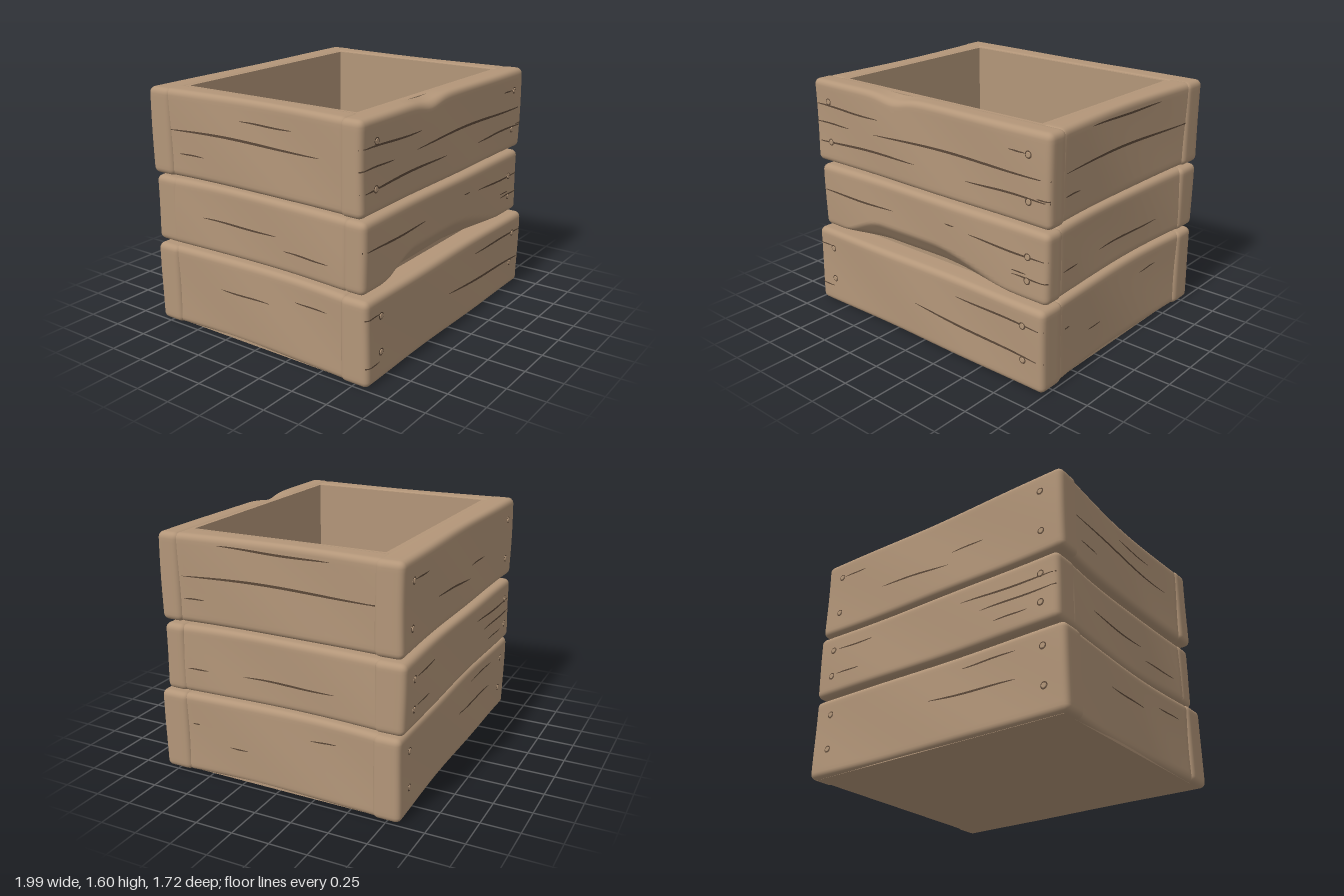
import * as THREE from 'three';
import { mergeVertices } from 'three/addons/utils/BufferGeometryUtils.js';

const wood = new THREE.MeshStandardMaterial({ color: 0xb39679 });
wood.name = 'wood';
const groove = new THREE.MeshStandardMaterial({ color: 0x5c4939, side: THREE.DoubleSide });
groove.name = 'dark groove';

const R = 0.04; // rounding of the plank edges
const smooth = (a, b, x) => THREE.MathUtils.smoothstep(x, a, b);

// Position along one axis: short steps in the rounded rim, even steps between
function spread(t, n, half) {
  const i = Math.round((t + 1) / 2 * n), rim = 3;
  if (i <= rim) return -half + R * i / rim;
  if (i >= n - rim) return half - R * (n - i) / rim;
  return -half + R + (2 * half - 2 * R) * (i - rim) / (n - 2 * rim);
}

// Offset of the outer face: bowed, slightly wavy, optionally gouged along the bottom
function faceOffset(p, u, v) {
  const k = (u - (p.u0 + p.u1) / 2) / ((p.u1 - p.u0) / 2);
  let w = -p.bow * (1 - k * k) + 0.004 * Math.sin(u * 5 + v * 7);
  if (p.gouge) {
    const edge = p.y0 + 0.14 * smooth(-0.85, -0.4, u) * (1 - smooth(0.05, 0.85, u));
    w -= Math.max(0, edge - v) * 0.75;
  }
  return w;
}

// Outer surface at (u, v), including the rounded ends
function surface(p, u, v) {
  const d = Math.min(R, Math.max(0, p.u0 + R - u, u - p.u1 + R));
  return p.out + faceOffset(p, u, v) - R + Math.sqrt(R * R - d * d);
}

// Rounded, worn plank: u along, v up, w outwards
function plank(p) {
  const N = [54, 26, 10];
  const half = [(p.u1 - p.u0) / 2, (p.y1 - p.y0) / 2, (p.out - p.inn) / 2];
  const mid = [(p.u0 + p.u1) / 2, (p.y0 + p.y1) / 2, (p.out + p.inn) / 2];
  let geo = new THREE.BoxGeometry(2, 2, 2, ...N);
  const pos = geo.attributes.position;
  const q = new THREE.Vector3(), c = new THREE.Vector3();
  const inner = new THREE.Vector3(...half).subScalar(R);
  for (let i = 0; i < pos.count; i++) {
    q.set(...[0, 1, 2].map(a => spread(pos.getComponent(i, a), N[a], half[a])));
    c.copy(q).clamp(inner.clone().negate(), inner);
    q.sub(c).setLength(R).add(c);
    const outward = (q.z / half[2] + 1) / 2;
    q.add(new THREE.Vector3(...mid));
    q.z += faceOffset(p, q.x, q.y) * outward;
    if (p.dip) {
      const top = smooth(p.y1 - 0.15, p.y1, q.y);
      q.y -= 0.035 * top * outward * Math.exp(-(((q.x + 0.25) / 0.13) ** 2));
    }
    pos.setXYZ(i, q.x, q.y, q.z);
  }
  geo.deleteAttribute('normal');
  geo.deleteAttribute('uv');
  geo = mergeVertices(geo);
  geo.computeVertexNormals();
  const mesh = new THREE.Mesh(geo, wood);
  mesh.name = 'plank';
  return mesh;
}

// Tapered grain crack lying on the face, from (u0, v0) to (u1, v1)
function crack(p, [u0, u1, v0, v1 = v0]) {
  const n = 20, pts = [], idx = [];
  const width = Math.min(0.008, 0.004 + Math.abs(u1 - u0) * 0.004);
  for (let i = 0; i <= n; i++) {
    const t = i / n, u = u0 + (u1 - u0) * t;
    const v = v0 + (v1 - v0) * t + 0.006 * Math.sin(t * 6 + v0 * 9) * Math.abs(u1 - u0);
    const atEnd = Math.abs(u - p.u0) < 0.03 || Math.abs(u - p.u1) < 0.03;
    const h = width * (atEnd ? 0.8 : Math.sqrt(Math.sin(Math.PI * t) + 0.02));
    const w = surface(p, u, v) + 0.003;
    pts.push(u, v - h, w, u, v + h, w);
    if (i < n) idx.push(2 * i, 2 * i + 2, 2 * i + 1, 2 * i + 1, 2 * i + 2, 2 * i + 3);
  }
  const geo = new THREE.BufferGeometry();
  geo.setAttribute('position', new THREE.Float32BufferAttribute(pts, 3));
  geo.setIndex(idx);
  geo.computeVertexNormals();
  const mesh = new THREE.Mesh(geo, groove);
  mesh.name = 'grainCrack';
  return mesh;
}

// Nail head: small disc in a dark ring
function nail(p, [u, v]) {
  const g = new THREE.Group();
  g.name = 'nail';
  const ring = new THREE.Mesh(new THREE.RingGeometry(0.017, 0.024, 16), groove);
  const head = new THREE.Mesh(new THREE.CylinderGeometry(0.015, 0.018, 0.008, 16), wood);
  head.rotation.x = Math.PI / 2;
  g.add(ring, head);
  g.position.set(u, v, surface(p, u, v) + 0.004);
  return g;
}

function row(p, cracks, nails = []) {
  const g = new THREE.Group();
  g.name = 'plankRow';
  g.add(plank(p), ...cracks.map(c => crack(p, c)), ...nails.map(n => nail(p, n)));
  return g;
}

const ROWS = [{ y0: 0, y1: 0.545 }, { y0: 0.56, y1: 1.005 }, { y0: 1.03, y1: 1.595 }];
const four = (a, b) => [[-0.845, a], [-0.845, b], [0.845, a], [0.845, b]];

// Each row, bottom to top: extent, cracks [u0, u1, v0, v1], nails [u, v]
const FRONT = [
  [{ u0: -0.995, u1: 0.995, out: 0.85 },
    [[-0.99, -0.86, 0.435], [0.3, 0.99, 0.43, 0.42], [-0.05, 0.99, 0.26, 0.2], [-0.99, -0.86, 0.13]], four(0.42, 0.19)],
  [{ u0: -0.965, u1: 0.985, out: 0.805, gouge: true },
    [[-0.96, -0.28, 0.825], [0.38, 0.98, 0.85, 0.835], [0.19, 0.27, 0.87], [0.72, 0.83, 0.73], [0.72, 0.98, 0.705]],
    [[0.84, 0.84], [0.84, 0.69]]],
  [{ u0: -0.995, u1: 0.995, out: 0.805, dip: true },
    [[-0.99, -0.37, 1.43, 1.42], [-0.99, -0.66, 1.31], [-0.42, 0.99, 1.32, 1.335], [-0.99, -0.06, 1.18, 1.2],
      [0.36, 0.99, 1.19, 1.2], [0.7, 0.82, 1.46], [0.9, 0.99, 1.21]], four(1.457, 1.18)],
];
const BACK = [
  [{ u0: -0.995, u1: 0.995, out: 0.835 }, [[0, 0.65, 0.3, 0.27], [0.25, 0.65, 0.45]], four(0.42, 0.18)],
  [{ u0: -0.985, u1: 0.965, out: 0.85 },
    [[-0.8, -0.5, 0.88], [-0.8, -0.6, 0.7], [0.25, 0.95, 0.88, 0.86], [0.4, 0.95, 0.78], [0.5, 0.75, 0.68]], four(0.88, 0.69)],
  [{ u0: -0.995, u1: 0.995, out: 0.835 },
    [[-0.82, -0.62, 1.46], [-0.45, 0.12, 1.26, 1.22], [0.15, 0.4, 1.3]], four(1.46, 1.18)],
];
const RIGHT = [
  [{ out: 0.985 }, [[-0.62, -0.57, 0.345], [-0.35, -0.22, 0.225], [0.23, 0.41, 0.4, 0.41]]],
  [{ out: 0.975 }, [[-0.64, -0.49, 0.725], [-0.24, 0.39, 0.725, 0.73]]],
  [{ out: 0.985 }, [[-0.38, 0.37, 1.54, 1.53], [-0.64, 0.69, 1.335], [-0.64, -0.49, 1.19]]],
];
const LEFT = [
  [{ out: 0.985 }, [[-0.3, 0.1, 0.33], [0.3, 0.55, 0.4]]],
  [{ out: 0.965 }, [[-0.45, 0.15, 0.78], [0.2, 0.55, 0.7]]],
  [{ out: 0.985 }, [[-0.68, 0.5, 1.34], [-0.1, 0.3, 1.46], [-0.6, -0.4, 1.19]]],
];

export function createModel() {
  const crate = new THREE.Group();
  crate.name = 'woodenCrate';

  // Four plank walls
  const walls = [
    ['frontWall', FRONT, 0, { inn: 0.65, bow: 0.006 }],
    ['backWall', BACK, Math.PI, { inn: 0.65, bow: 0.014 }],
    ['rightWall', RIGHT, Math.PI / 2, { inn: 0.815, bow: 0.028, u0: -0.69, u1: 0.715 }],
    ['leftWall', LEFT, -Math.PI / 2, { inn: 0.815, bow: 0.028, u0: -0.715, u1: 0.69 }],
  ];
  for (const [name, rows, turn, base] of walls) {
    const wall = new THREE.Group();
    wall.name = name;
    wall.rotation.y = turn;
    rows.forEach(([shape, cracks, nails], i) =>
      wall.add(row({ ...base, ...ROWS[i], ...shape }, cracks, nails)));
    crate.add(wall);
  }

  // Inner lining, seen through the gaps between the rows
  const rect = (S, x, z) => new S([[-x, -z], [x, -z], [x, z], [-x, z]].map(a => new THREE.Vector2(...a)));
  const frame = rect(THREE.Shape, 0.86, 0.695);
  frame.holes.push(rect(THREE.Path, 0.81, 0.645));
  const lining = new THREE.Mesh(
    new THREE.ExtrudeGeometry(frame, { depth: 1.57, bevelEnabled: false }), wood);
  lining.name = 'innerLining';
  lining.rotation.x = -Math.PI / 2;
  lining.position.y = 0.02;
  crate.add(lining);

  // Floor with its own grain cracks
  const floor = new THREE.Group();
  floor.name = 'floor';
  const board = new THREE.Mesh(new THREE.BoxGeometry(1.9, 0.08, 1.6), wood);
  board.name = 'floorBoard';
  board.position.y = 0.04;
  const grain = new THREE.Group();
  grain.name = 'floorGrain';
  grain.rotation.x = -Math.PI / 2;
  const flat = { u0: -1, u1: 1, out: 0.085, bow: 0 };
  const lines = [[-0.65, -0.42, 0.05, -0.01], [-0.42, -0.17, -0.01, -0.025], [0, 0.6, -0.025, 0.005],
    [-0.16, 0.12, 0.27, 0.295], [0.38, 0.73, -0.305, -0.295]];
  grain.add(...lines.map(c => crack(flat, c)));
  floor.add(board, grain);
  crate.add(floor);

  return crate;
}
